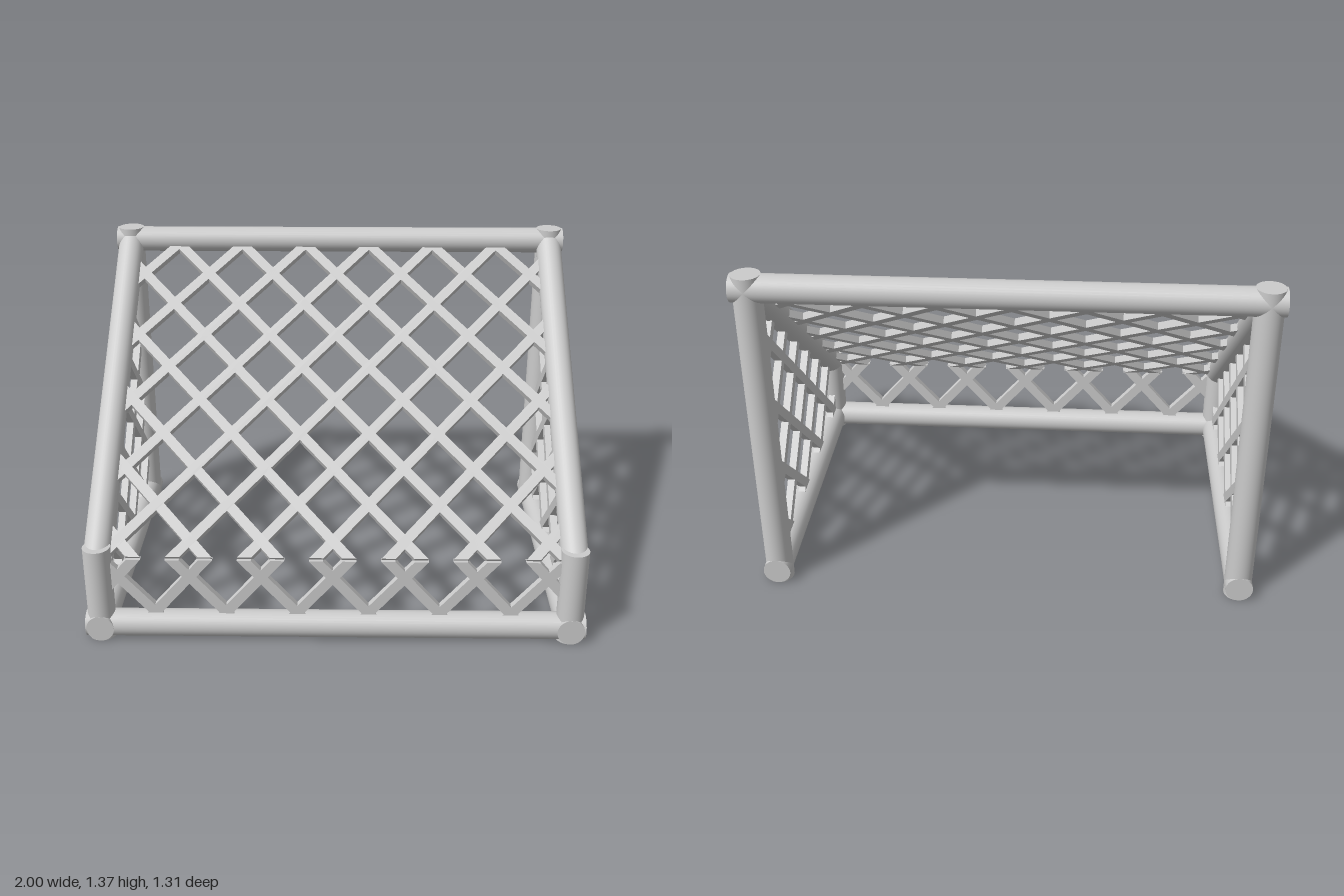
import * as THREE from 'three';
import { mergeGeometries } from 'three/addons/utils/BufferGeometryUtils.js';

const R = 0.055;        // pipe radius
const X = 0.94;         // side frame offset
const Z = 0.6;          // front / back pipe offset
const LOW = 0.35;       // lower end of the sloping pipes
const HIGH = 1.315;     // upper end of the sloping pipes
const STRIP = 0.042;    // net strip width
const DEPTH = 0.03;     // net strip thickness

const material = new THREE.MeshStandardMaterial({ color: 0xcccccc });

// Straight round pipe between two points
function pipe(name, a, b) {
  const from = new THREE.Vector3(...a);
  const to = new THREE.Vector3(...b);
  const dir = to.clone().sub(from);
  const mesh = new THREE.Mesh(new THREE.CylinderGeometry(R, R, dir.length(), 32), material);
  mesh.position.copy(from).add(to).multiplyScalar(0.5);
  mesh.quaternion.setFromUnitVectors(new THREE.Vector3(0, 1, 0), dir.normalize());
  mesh.name = name;
  return mesh;
}

// Cut a polygon to the inside of a convex counter-clockwise outline
function clip(points, outline) {
  outline.forEach((a, i) => {
    const b = outline[(i + 1) % outline.length];
    const side = (p) => (b[0] - a[0]) * (p[1] - a[1]) - (b[1] - a[1]) * (p[0] - a[0]);
    const kept = [];
    points.forEach((p, j) => {
      const q = points[(j + 1) % points.length];
      const sp = side(p), sq = side(q);
      if (sp >= 0) kept.push(p);
      if (sp * sq < 0) {
        const t = sp / (sp - sq);
        kept.push([p[0] + (q[0] - p[0]) * t, p[1] + (q[1] - p[1]) * t]);
      }
    });
    points = kept;
  });
  return points;
}

// Diagonal lattice through a crossing point, trimmed to the outline
function net(name, outline, crossing, step) {
  const parts = [];
  const length = Math.hypot(...step);
  for (const sign of [-1, 1]) {
    const d = [sign * step[0] / length, step[1] / length];
    const n = [-d[1] * STRIP / 2, d[0] * STRIP / 2];
    for (let i = -15; i <= 15; i++) {
      const c = [crossing[0] + 2 * step[0] * i, crossing[1]];
      const corner = (s, w) => [c[0] + d[0] * s + n[0] * w, c[1] + d[1] * s + n[1] * w];
      const strip = clip([corner(-4, -1), corner(4, -1), corner(4, 1), corner(-4, 1)], outline);
      if (strip.length < 3) continue;
      const shape = new THREE.Shape(strip.map((p) => new THREE.Vector2(...p)));
      const geo = new THREE.ExtrudeGeometry(shape, { depth: DEPTH, bevelEnabled: false });
      parts.push(geo.translate(0, 0, -DEPTH / 2));
    }
  }
  const mesh = new THREE.Mesh(mergeGeometries(parts), material);
  mesh.name = name;
  return mesh;
}

export function createModel() {
  const goal = new THREE.Group();
  goal.name = 'goal';

  // Cross pipes
  goal.add(pipe('topBar', [-1, HIGH, -Z], [1, HIGH, -Z]));
  goal.add(pipe('bottomBar', [-1, R, Z], [1, R, Z]));

  // Side frames with their nets
  const sideOutline = [[-Z, R], [Z, R], [Z, LOW], [-Z, HIGH]];
  for (const [side, s] of [['left', 1], ['right', -1]]) {
    const x = s * X;
    goal.add(pipe(side + 'TallPost', [x, 0, -Z], [x, HIGH + R, -Z]));
    goal.add(pipe(side + 'ShortPost', [x, 0, Z], [x, 0.4, Z]));
    goal.add(pipe(side + 'BottomRail', [x, R, -Z - R], [x, R, Z + R]));
    goal.add(pipe(side + 'SlopingRail', [x, LOW, Z], [x, HIGH, -Z]));
    const sideNet = net(side + 'Net', sideOutline, [0.04, 0.27], [0.157, 0.145]);
    sideNet.rotation.y = -Math.PI / 2;
    sideNet.position.x = x;
    goal.add(sideNet);
  }

  // Low upright net
  const lowNet = net('lowNet', [[-X, R], [X, R], [X, LOW], [-X, LOW]], [-0.01, 0.275], [0.142, 0.162]);
  lowNet.position.z = Z;
  goal.add(lowNet);

  // Sloping net
  const rise = HIGH - LOW;
  const slope = Math.hypot(rise, 2 * Z);
  const slopingNet = net('slopingNet', [[-X, 0], [X, 0], [X, slope], [-X, slope]], [-0.01, 0.072], [0.142, 0.159]);
  slopingNet.rotation.x = -Math.atan2(2 * Z, rise);
  slopingNet.position.set(0, LOW, Z);
  goal.add(slopingNet);

  return goal;
}
